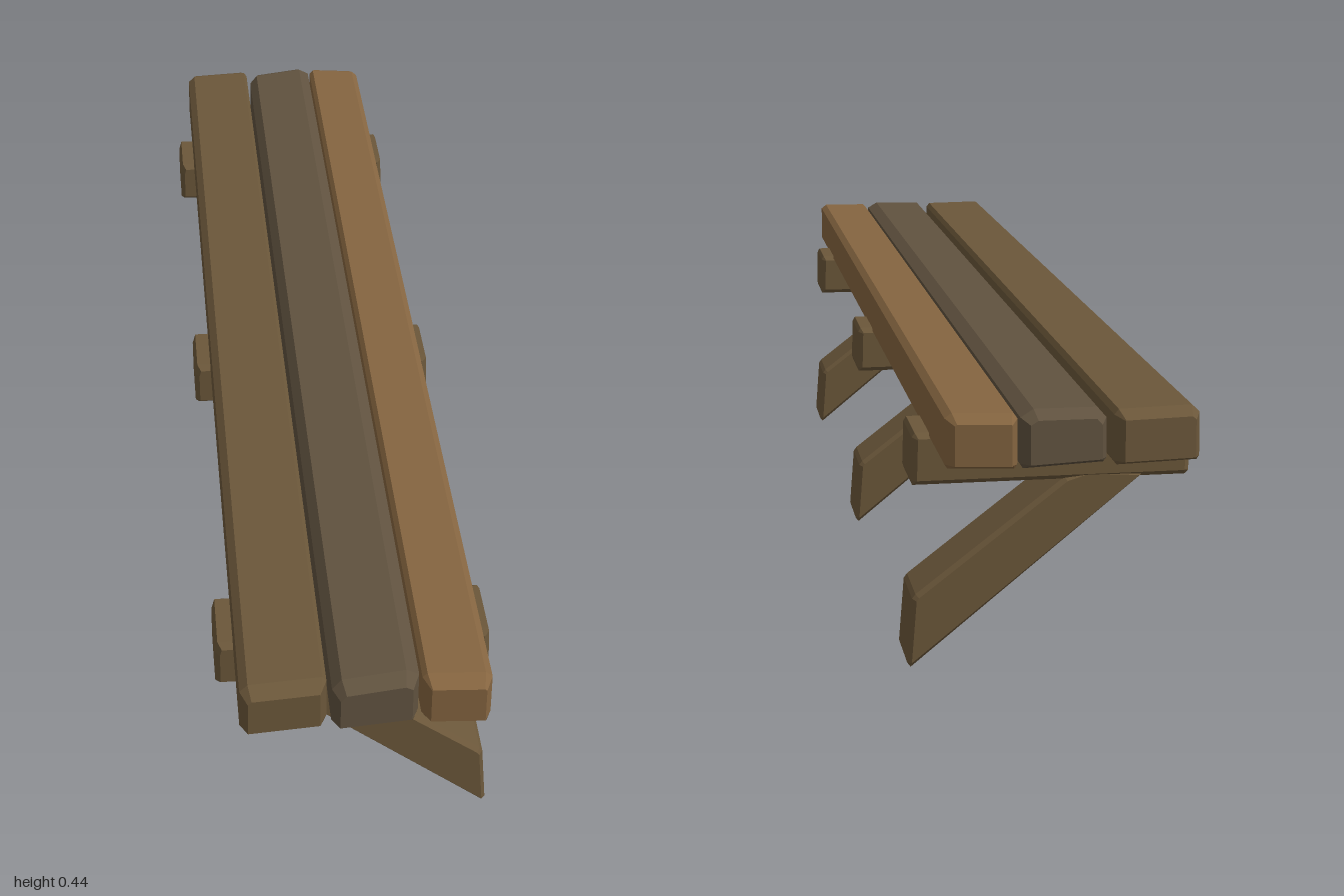
import * as THREE from 'three';

const wood = (color) => new THREE.MeshStandardMaterial({ color, flatShading: true });

// Solid with an x/y profile, running along z, with chamfered end faces
function beam(name, points, length, chamfer, chamferDepth, material) {
  const shape = new THREE.Shape(points.map(([x, y]) => new THREE.Vector2(x, y)));
  const geometry = new THREE.ExtrudeGeometry(shape, {
    depth: length - 2 * chamferDepth,
    bevelEnabled: true,
    bevelSegments: 1,
    bevelSize: chamfer,
    bevelOffset: -chamfer,
    bevelThickness: chamferDepth,
  });
  geometry.translate(0, 0, chamferDepth - length / 2);
  const mesh = new THREE.Mesh(geometry, material);
  mesh.name = name;
  return mesh;
}

// Pull one side of each plank end inward so the cuts look hand sawn
function skewEnds(mesh, x0, x1, frontSkew, backSkew) {
  const p = mesh.geometry.attributes.position;
  for (let i = 0; i < p.count; i++) {
    const z = p.getZ(i);
    const t = (p.getX(i) - x0) / (x1 - x0);
    const skew = z > 0 ? frontSkew : backSkew;
    const cut = skew > 0 ? skew * t : -skew * (1 - t);
    p.setZ(i, z - Math.sign(z) * cut);
  }
  mesh.geometry.computeVertexNormals();
}

export function createModel() {
  const group = new THREE.Group();
  const brown = wood(0x6b573a);

  // Seat planks: worn profiles, each a different shade
  const planks = [
    ['leftPlank', 0x6b573a, 0.01, -0.012, [
      [-0.181, 0.351], [-0.063, 0.351], [-0.059, 0.357], [-0.059, 0.423],
      [-0.065, 0.431], [-0.172, 0.431], [-0.184, 0.42], [-0.185, 0.357]]],
    ['middlePlank', 0x60523f, 0.012, -0.02, [
      [-0.048, 0.351], [0.07, 0.351], [0.074, 0.358], [0.074, 0.424],
      [0.055, 0.435], [-0.038, 0.431], [-0.052, 0.415], [-0.053, 0.357]]],
    ['rightPlank', 0x856540, -0.006, 0.015, [
      [0.082, 0.351], [0.174, 0.351], [0.178, 0.357], [0.178, 0.423],
      [0.168, 0.431], [0.085, 0.431], [0.078, 0.423], [0.078, 0.357]]],
  ];
  for (const [name, color, frontSkew, backSkew, points] of planks) {
    const plank = beam(name, points, 2, 0.011, 0.025, wood(color));
    const xs = points.map((q) => q[0]);
    skewEnds(plank, Math.min(...xs), Math.max(...xs), frontSkew, backSkew);
    group.add(plank);
  }

  // Three supports: a cross beam with a diagonal brace below
  const crossProfile = [
    [-0.207, 0.283], [0.203, 0.283], [0.205, 0.29], [0.203, 0.355],
    [0.199, 0.362], [-0.208, 0.362], [-0.213, 0.344], [-0.213, 0.288]];
  const braceProfile = [
    [-0.145, 0.288], [0.207, 0], [0.212, 0.007], [0.204, 0.107],
    [0.199, 0.114], [-0.025, 0.286], [-0.06, 0.297]];
  for (const [i, z] of [-0.75, 0, 0.75].entries()) {
    const support = new THREE.Group();
    support.name = `support${i + 1}`;
    support.add(
      beam('crossBeam', crossProfile, 0.12, 0.008, 0.01, brown),
      beam('brace', braceProfile, 0.116, 0.006, 0.008, brown),
    );
    support.position.z = z;
    group.add(support);
  }
  return group;
}
